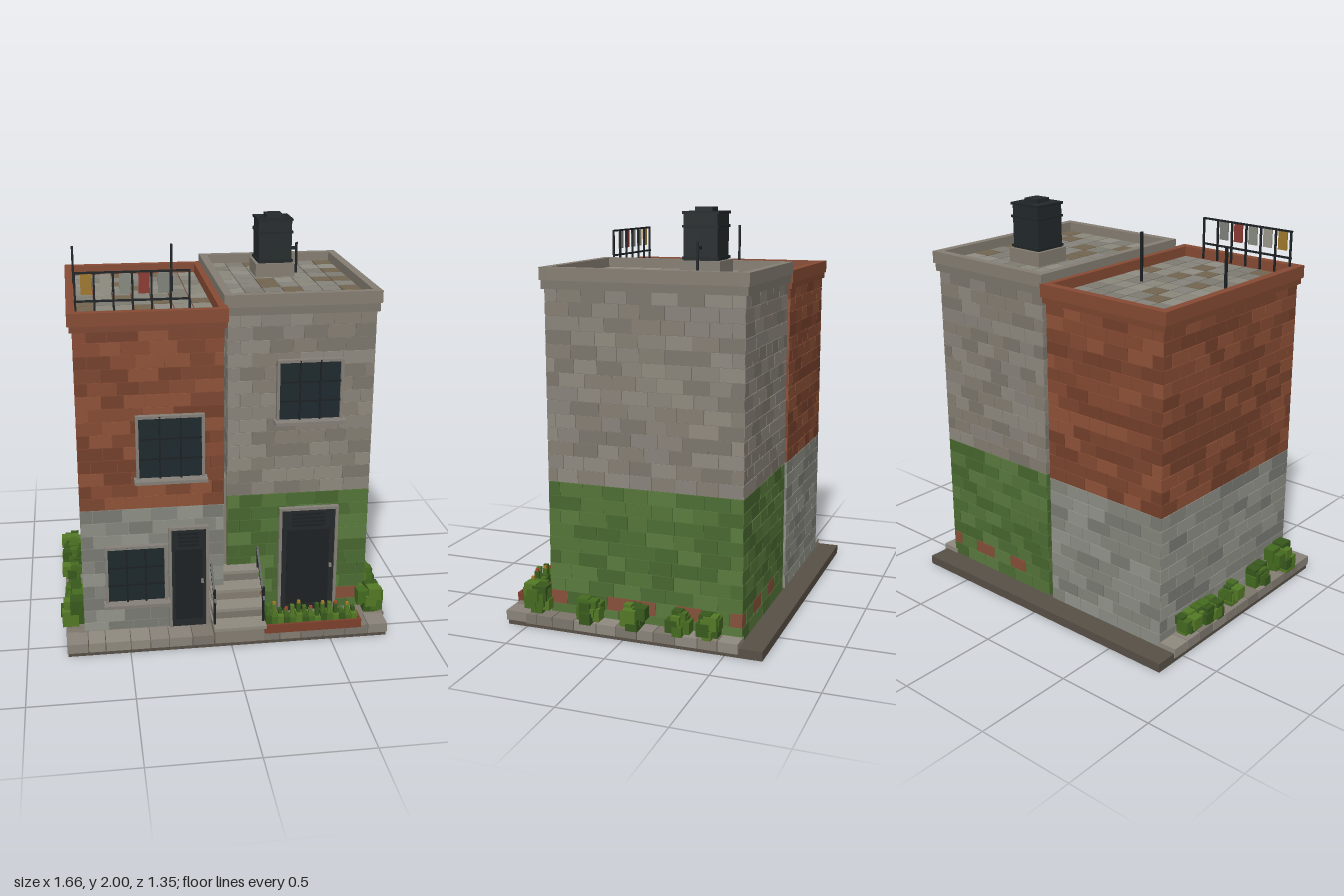
import * as THREE from 'three';
import { mergeGeometries } from 'three/addons/utils/BufferGeometryUtils.js';

let seed = 7;
const rnd = () => (seed = (seed * 16807) % 2147483647) / 2147483647;
const pick = (list) => list[Math.floor(rnd() * list.length)];

const RED = [0x7d4630, 0x874b33, 0x75402b, 0x8f5238];
const GREY = [0x857e73, 0x7c766c, 0x908a7f, 0x89837a];
const STONE = [0x85867d, 0x8e8f86, 0x7a7b74, 0x94958c];
const GREEN = [0x4c6d33, 0x547538, 0x5a7b3e, 0x48672f];
const TILE = [0x85837a, 0x7d7b72, 0x908d84, 0x8a877c, 0x736650];
const LEAF = [0x37591c, 0x456b20, 0x547a26];
const IRON = 0x1c2123, TRIM = 0x858078, GLASS = 0x1d292d, SLAB = 0x585046;

// A part collects boxes given by their limits and merges them by colour.
function part(root, name, build) {
  const byColor = new Map();
  const put = (color, geo) => {
    if (!byColor.has(color)) byColor.set(color, []);
    byColor.get(color).push(geo);
  };
  const box = (color, x0, x1, y0, y1, z0, z1) => put(color,
    new THREE.BoxGeometry(x1 - x0, y1 - y0, z1 - z0).translate((x0 + x1) / 2, (y0 + y1) / 2, (z0 + z1) / 2));
  const bar = (color, a, b, t = 0.009) => {
    const p = new THREE.Vector3(...a), q = new THREE.Vector3(...b), d = q.clone().sub(p);
    const geo = new THREE.BoxGeometry(t, d.length(), t);
    geo.applyQuaternion(new THREE.Quaternion().setFromUnitVectors(new THREE.Vector3(0, 1, 0), d.normalize()));
    put(color, geo.translate(...p.add(q).multiplyScalar(0.5).toArray()));
  };
  build(box, bar);
  const group = new THREE.Group();
  group.name = name;
  for (const [color, geos] of byColor) {
    const mesh = new THREE.Mesh(mergeGeometries(geos), new THREE.MeshStandardMaterial({ color }));
    mesh.name = name;
    group.add(mesh);
  }
  root.add(group);
}

// Cut a length into slightly uneven pieces, with a running-bond offset.
function cuts(a, b, size, row) {
  const out = [a];
  let p = a + size * (row % 2 ? 0.5 : 1);
  while (p < b - size * 0.35) {
    out.push(p);
    p += size * (0.8 + rnd() * 0.4);
  }
  return [...out, b];
}

// Four brick faces around a core, in courses from y0 to y1.
function brickWalls(box, b, y0, y1, palette, patches) {
  const [x0, x1, z0, z1] = b, rows = Math.round((y1 - y0) / 0.065), h = (y1 - y0) / rows, g = 0.0015, d = 0.02;
  const i = 0.004;
  box(palette[1], x0 + i, x1 - i, y0, y1, z0 + i, z1 - i);
  for (let r = 0; r < rows; r++) {
    const a = y0 + r * h + g, c = y0 + (r + 1) * h - g;
    for (const side of [0, 1, 2, 3]) {
      const alongX = side < 2;
      const p = cuts(alongX ? x0 : z0, alongX ? x1 : z1, 0.12, r);
      for (let k = 0; k + 1 < p.length; k++) {
        const s = p[k] + g, e = p[k + 1] - g;
        const color = patches && r === 1 && rnd() < 0.4 ? 0x86503a : pick(palette);
        if (side === 0) box(color, s, e, a, c, z1 - d, z1);
        if (side === 1) box(color, s, e, a, c, z0, z0 + d);
        if (side === 2) box(color, x0, x0 + d, a, c, s, e);
        if (side === 3) box(color, x1 - d, x1, a, c, s, e);
      }
    }
  }
}

// Square ring, used for the parapet courses.
function ring(box, color, x0, x1, y0, y1, z0, z1, t) {
  box(color, x0, x1, y0, y1, z1 - t, z1);
  box(color, x0, x1, y0, y1, z0, z0 + t);
  box(color, x0, x0 + t, y0, y1, z0 + t, z1 - t);
  box(color, x1 - t, x1, y0, y1, z0 + t, z1 - t);
}

function roof(box, x0, x1, y, z0, z1, cols, rows, grout) {
  box(grout, x0 - 0.01, x1 + 0.01, y - 0.03, y - 0.006, z0 - 0.01, z1 + 0.01);
  const w = (x1 - x0) / cols, d = (z1 - z0) / rows, g = 0.003;
  for (let i = 0; i < cols; i++) for (let j = 0; j < rows; j++)
    box(pick(TILE), x0 + i * w + g, x0 + (i + 1) * w - g, y - 0.01, y, z0 + j * d + g, z0 + (j + 1) * d - g);
}

// Frame around an opening on a front wall at depth z.
function frame(box, x0, x1, y0, y1, z, t = 0.014) {
  box(TRIM, x0 - t, x0, y0, y1 + t, z - 0.01, z + 0.026);
  box(TRIM, x1, x1 + t, y0, y1 + t, z - 0.01, z + 0.026);
  box(TRIM, x0, x1, y1, y1 + t, z - 0.01, z + 0.026);
}

function windowAt(root, name, x0, x1, y0, y1, z) {
  part(root, name, (box, bar) => {
    box(GLASS, x0, x1, y0, y1, z - 0.01, z + 0.012);
    frame(box, x0, x1, y0, y1, z);
    box(TRIM, x0 - 0.025, x1 + 0.025, y0 - 0.016, y0, z - 0.01, z + 0.065);
    for (const f of [1 / 3, 2 / 3]) {
      const x = x0 + (x1 - x0) * f, y = y0 + (y1 - y0) * f;
      bar(IRON, [x, y0, z + 0.022], [x, y1 + 0.01, z + 0.022], 0.008);
      bar(IRON, [x0, y, z + 0.026], [x1, y, z + 0.026], 0.008);
    }
  });
}

function doorAt(root, name, x0, x1, y0, y1, z) {
  part(root, name, (box) => {
    box(0x24282a, x0, x1, y0, y1, z - 0.01, z + 0.014);
    frame(box, x0, x1, y0, y1, z);
    const m = (x1 - x0) * 0.2;
    for (let i = 0; i < 4; i++) box(IRON, x0 + m, x1 - m, y1 - 0.03 - i * 0.02, y1 - 0.018 - i * 0.02, z, z + 0.022);
    ring(box, IRON, x0 + m / 2, x1 - m / 2, y0 + 0.04, y1 - 0.11, z - 0.018, z + 0.018, 0.01);
    box(TRIM, x1 - 0.025, x1 - 0.013, y0 + 0.24, y0 + 0.26, z, z + 0.028);
  });
}

function bush(root, x, z, s) {
  part(root, 'bush', (box) => {
    for (let i = 0; i < 12; i++) {
      const r = s * (0.16 + rnd() * 0.12), a = i * 2.4, d = s * 0.33 * Math.sqrt(rnd());
      const cx = x + Math.cos(a) * d, cz = z + Math.sin(a) * d, cy = 0.07 + r + (s - r * 2) * (i / 11);
      box(pick(LEAF), cx - r, cx + r, cy - r, cy + r, cz - r, cz + r);
    }
  });
}

export function createModel() {
  const root = new THREE.Group();
  root.name = 'twoHouses';

  // Ground slab and paving
  part(root, 'groundSlab', (box) => box(SLAB, -0.805, 0.785, 0, 0.045, -0.68, 0.6));
  part(root, 'paving', (box) => {
    const g = 0.002;
    const p = cuts(-0.81, 0.79, 0.105, 0), q = cuts(-0.57, 0.5, 0.1, 0);
    for (let i = 0; i + 1 < p.length; i++) box(pick(GREY), p[i] + g, p[i + 1] - g, 0.022, 0.07, 0.49, 0.61);
    for (let i = 0; i + 1 < q.length; i++) {
      box(pick(GREY), -0.81, -0.7, 0.022, 0.07, q[i] + g, q[i + 1] - g);
      box(pick(GREY), 0.7, 0.8, 0.022, 0.07, q[i] + g, q[i + 1] - g);
    }
    box(GREY[1], -0.7, 0.7, 0.022, 0.068, 0.38, 0.49);
  });

  // House walls
  const left = [-0.72, -0.025, -0.57, 0.483], right = [0.003, 0.717, -0.565, 0.402];
  part(root, 'leftHouseLowerWalls', (box) => brickWalls(box, left, 0.045, 0.715, STONE));
  part(root, 'leftHouseUpperWalls', (box) => brickWalls(box, left, 0.715, 1.61, RED));
  part(root, 'rightHouseLowerWalls', (box) => brickWalls(box, right, 0.045, 0.72, GREEN, true));
  part(root, 'rightHouseUpperWalls', (box) => brickWalls(box, right, 0.72, 1.64, GREY));
  part(root, 'gapFill', (box) => box(GREY[0], -0.03, 0.008, 0.045, 0.81, -0.1, 0.38));

  // Parapets and tiled roofs
  part(root, 'leftParapet', (box) => {
    ring(box, RED[0], -0.733, -0.012, 1.598, 1.628, -0.58, 0.496, 0.04);
    ring(box, RED[1], -0.742, -0.006, 1.628, 1.69, -0.587, 0.504, 0.04);
  });
  part(root, 'leftRoof', (box) => roof(box, -0.7, -0.045, 1.64, -0.547, 0.463, 7, 10, RED[0]));
  part(root, 'rightParapet', (box) => {
    ring(box, GREY[1], -0.008, 0.73, 1.632, 1.672, -0.578, 0.412, 0.035);
    ring(box, GREY[0], -0.015, 0.738, 1.672, 1.732, -0.586, 0.418, 0.04);
  });
  part(root, 'rightRoof', (box) => roof(box, 0.025, 0.7, 1.685, -0.547, 0.378, 7, 9, GREY[1]));

  // Windows and doors
  windowAt(root, 'leftUpperWindow', -0.432, -0.133, 0.878, 1.177, 0.483);
  windowAt(root, 'leftLowerWindow', -0.595, -0.32, 0.23, 0.513, 0.483);
  windowAt(root, 'rightUpperWindow', 0.252, 0.548, 1.112, 1.398, 0.402);
  doorAt(root, 'leftDoor', -0.284, -0.115, 0.07, 0.6, 0.483);
  doorAt(root, 'rightDoor', 0.277, 0.548, 0.07, 0.632, 0.402);

  // Steps with sloping handrails
  part(root, 'steps', (box) => {
    [0.655, 0.585, 0.52, 0.455].forEach((z, i) => {
      const y = 0.14 + i * 0.068;
      box(GREY[i % 2], -0.088, 0.155, 0.045, y - 0.016, 0.39, z - 0.012);
      box(GREY[2], -0.095, 0.162, y - 0.016, y, 0.39, z + 0.018);
    });
  });
  part(root, 'handrails', (box, bar) => {
    for (const x of [-0.087, 0.152]) {
      bar(IRON, [x, 0.14, 0.62], [x, 0.325, 0.62], 0.011);
      bar(IRON, [x, 0.26, 0.64], [x, 0.445, 0.425], 0.011);
      bar(IRON, [x, 0.34, 0.445], [x, 0.425, 0.445], 0.011);
    }
  });

  // Flower bed
  part(root, 'planter', (box) => {
    ring(box, 0x7d3f2b, 0.163, 0.65, 0.065, 0.11, 0.525, 0.62, 0.012);
    box(0x33281e, 0.17, 0.645, 0.07, 0.1, 0.53, 0.615);
  });
  part(root, 'flowers', (box) => {
    for (let i = 0; i < 15; i++) {
      const x = 0.185 + i * 0.031, h = 0.15 + rnd() * 0.05, z = 0.56 + rnd() * 0.02;
      box(LEAF[i % 3], x - 0.015, x + 0.015, 0.1, 0.125 + rnd() * 0.025, 0.54, 0.6);
      box(LEAF[(i + 1) % 3], x - 0.01, x + 0.008, 0.1, h, z - 0.012, z + 0.012);
      if (i % 2) box(i % 4 === 1 ? 0xa87a20 : 0x9a4a28, x - 0.007, x + 0.007, h, h + 0.013, z - 0.007, z + 0.007);
    }
  });

  // Bushes along both sides
  for (const z of [-0.42, -0.3, -0.235, -0.065, 0.18]) bush(root, -0.765, z, 0.11);
  bush(root, -0.76, 0.38, 0.15);
  for (const z of [-0.42, -0.28, -0.06, 0.175]) bush(root, 0.765, z, 0.115);
  bush(root, 0.735, 0.455, 0.145);

  // Roof railing with washing
  part(root, 'roofRailing', (box, bar) => {
    for (let i = 0; i < 7; i++) bar(IRON, [-0.698 + i * 0.0865, 1.65, 0.44], [-0.698 + i * 0.0865, 1.86, 0.44]);
    for (const y of [1.73, 1.86]) bar(IRON, [-0.705, y, 0.44], [-0.175, y, 0.44]);
  });
  part(root, 'washing', (box) => {
    [0xa07a2c, 0x9c9a8c, 0x878b80, 0x8c3a32, 0x7f837b].forEach((c, i) => {
      const x = -0.647 + i * 0.087;
      box(c, x - 0.025, x + 0.025, 1.762, 1.855, 0.445, 0.452);
    });
  });
  part(root, 'roofPoles', (box, bar) => {
    for (const x of [-0.7, -0.21]) bar(IRON, [x, 1.63, -0.1], [x, 1.88, -0.1], 0.011);
  });

  // Water tank with plinth and pipe
  part(root, 'waterTank', (box, bar) => {
    box(GREY[0], 0.228, 0.43, 1.68, 1.755, -0.352, -0.158);
    box(0x23292b, 0.245, 0.415, 1.755, 1.98, -0.335, -0.17);
    for (const y of [1.76, 1.905, 1.968]) box(0x1f2527, 0.239, 0.421, y, y + 0.012, -0.342, -0.164);
    box(0x23292b, 0.288, 0.372, 1.98, 2, -0.295, -0.21);
    bar(IRON, [0.41, 1.815, -0.253], [0.46, 1.815, -0.253], 0.014);
    bar(IRON, [0.457, 1.68, -0.253], [0.457, 1.845, -0.253], 0.011);
  });
  return root;
}
